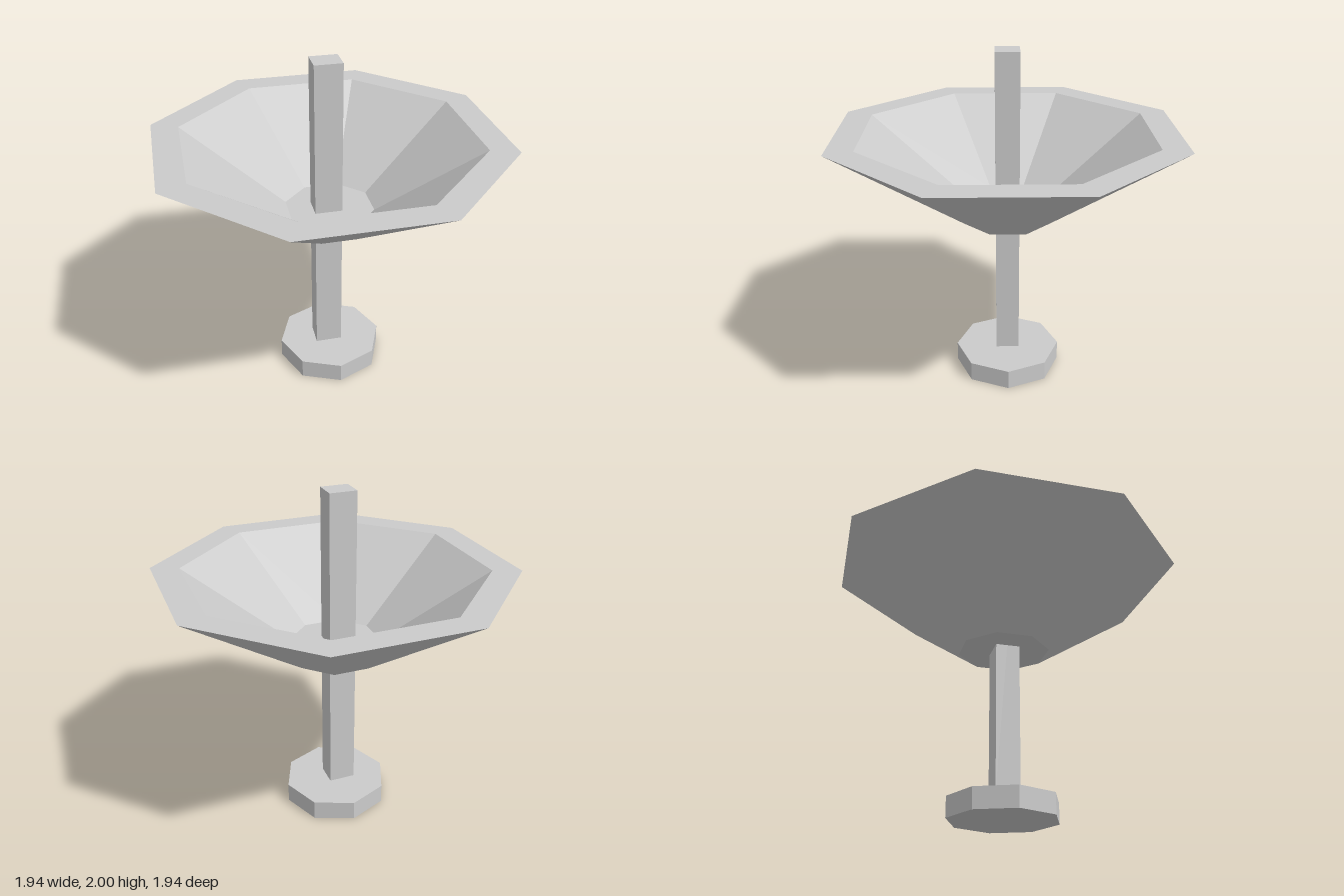
import * as THREE from 'three';

export function createModel() {
  const group = new THREE.Group();
  const material = new THREE.MeshStandardMaterial({ color: 0xcccccc, flatShading: true });

  const add = (name, geometry, x, y, z) => {
    const mesh = new THREE.Mesh(geometry, material);
    mesh.name = name;
    mesh.position.set(x, y, z);
    group.add(mesh);
  };

  // Octagonal foot, a corner facing the front
  add('base', new THREE.CylinderGeometry(0.32, 0.32, 0.12, 8), 0, 0.06, 0);

  // Square post, slightly off centre, rising through the bowl
  add('post', new THREE.BoxGeometry(0.16, 1.87, 0.14), -0.02, 1.065, 0);

  // Thick-walled octagonal bowl, a flat side facing the front;
  // profile is [distance to flat side, height], from underside to inner floor
  const profile = [
    [0, 1.01], [0.25, 1.01], [0.97, 1.54],
    [0.815, 1.54], [0.245, 1.1], [0, 1.1],
  ].map(([d, y]) => new THREE.Vector2(d / Math.cos(Math.PI / 8), y));
  add('bowl', new THREE.LatheGeometry(profile, 8, Math.PI / 8), 0, 0, 0);

  return group;
}
